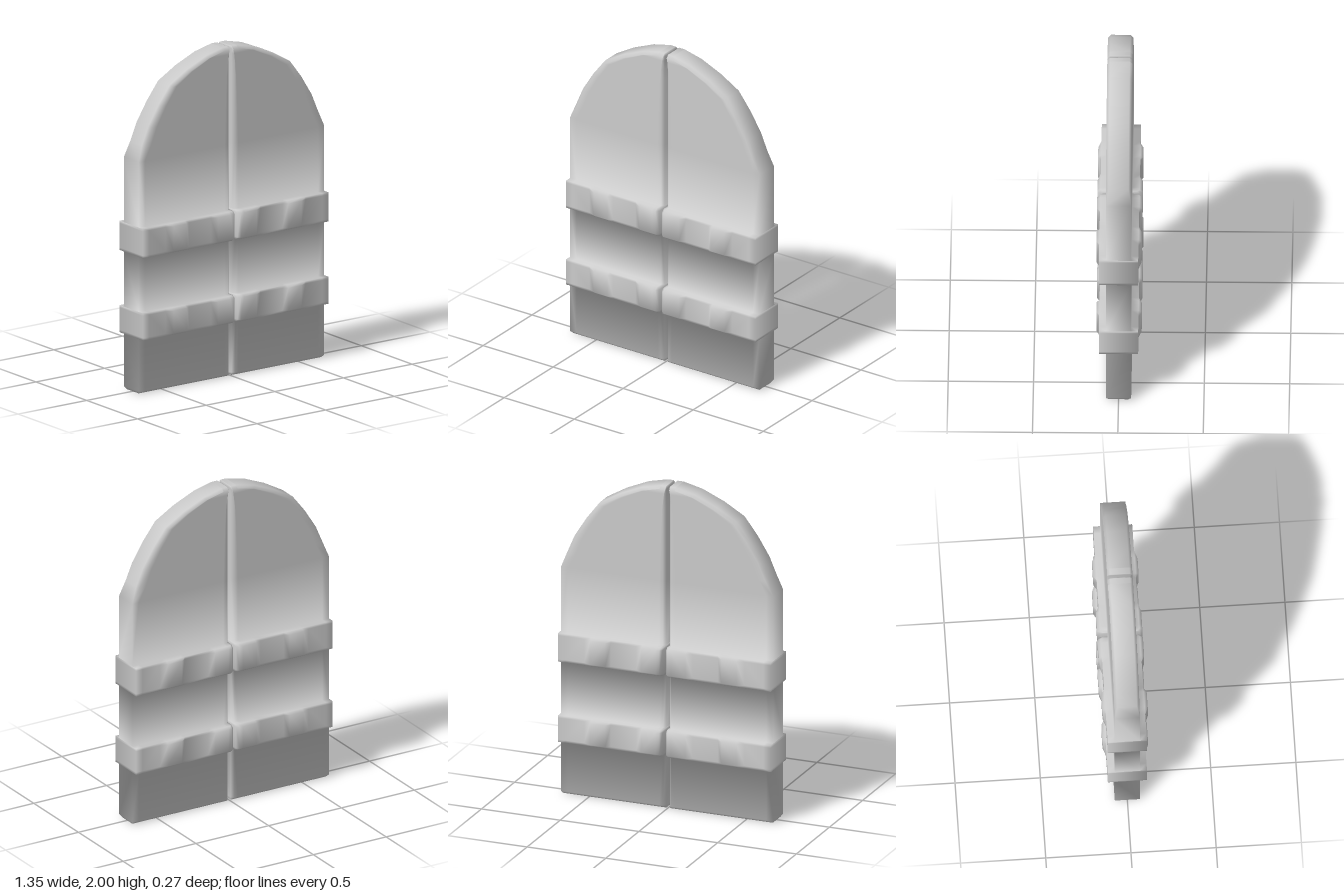
import * as THREE from 'three';
import { mergeVertices } from 'three/addons/utils/BufferGeometryUtils.js';

const SEAM = 0.011, WIDTH = 0.675, DOOR = 0.074, BAND = 0.115, STUD = 0.133, BEVEL = 0.016;

// Columns across a leaf, from the seam to the outer edge: [x, raised by a stud]
const COLUMNS = [
  [SEAM, 1], [0.026, 1], [0.05, 1], [0.14, 1], [0.18, 0], [0.34, 0], [0.37, 1],
  [0.465, 1], [0.51, 0], [0.63, 0], [WIDTH, 0], [WIDTH, 0],
];

// Rows up a leaf: height, half width, half depth, depth on the studs, and arch normal
const row = (y, z, stud = z, w = WIDTH, ny = null) => ({ y, z, stud, w, ny });

// A raised strap with studs, stepping out of the door face
const strap = (y0, y1) => [
  row(y0, DOOR), row(y0, BAND), row(y0 + 0.015, BAND, STUD),
  row(y1 - 0.015, BAND, STUD), row(y1, BAND), row(y1, DOOR),
];

// Rounded top: [width, height]
const ARCH = [[0.64, 1.505], [0.595, 1.61], [0.52, 1.73], [0.437, 1.838], [0.31, 1.912], [0.17, 1.972], [0.05, 2]];

function leafRows() {
  return [
    row(0, DOOR - BEVEL, DOOR - BEVEL, WIDTH - 0.01),
    row(BEVEL, DOOR),
    ...strap(0.335, 0.5),
    ...strap(0.835, 1.013),
    row(1.41, DOOR),
    ...ARCH.map(([w, y]) => row(y, DOOR, DOOR, w, (y - 1.41) / 0.59)),
    row(2, DOOR - BEVEL, DOOR - BEVEL, 0.05),
  ];
}

// Smooth normals in which every face counts equally
function evenNormals(geometry) {
  const p = geometry.attributes.position, index = geometry.index;
  const sums = Array.from({ length: p.count }, () => new THREE.Vector3());
  const tri = new THREE.Triangle(), n = new THREE.Vector3();
  for (let i = 0; i < index.count; i += 3) {
    const ids = [0, 1, 2].map((k) => index.getX(i + k));
    tri.setFromAttributeAndIndices(p, ...ids);
    if (tri.getArea() < 1e-9) continue;
    tri.getNormal(n);
    ids.forEach((id) => sums[id].add(n));
  }
  const normals = sums.flatMap((v) => v.normalize().toArray());
  geometry.setAttribute('normal', new THREE.Float32BufferAttribute(normals, 3));
  return geometry;
}

// One leaf: closed rings (front, then back) lofted up the rows
function leafGeometry(side) {
  const rows = leafRows(), count = COLUMNS.length, ring = count * 2;
  const positions = [], indices = [];
  for (const r of rows) {
    const front = COLUMNS.map(([cx, stud], c) => {
      const outer = c === count - 1;
      let z = stud ? r.stud : r.z;
      let y = r.y, w = r.w;
      if (c === 0 && r.z >= DOOR) z -= BEVEL;
      if (r.ny !== null) {
        // bevel along the arch
        if (outer) z -= BEVEL;
        else {
          y -= BEVEL * r.ny;
          w -= BEVEL * Math.sqrt(Math.max(0, 1 - r.ny * r.ny));
        }
      }
      const x = SEAM + (cx - SEAM) * (w - SEAM) / (WIDTH - SEAM);
      // keep the seam bevel narrow where the leaf narrows
      return [side * (c === 1 ? Math.min(cx, Math.max(x, SEAM + (w - SEAM) * 0.05)) : x), y, z];
    });
    const back = front.map(([x, y, z]) => [x, y, -z]).reverse();
    positions.push(...front.flat(), ...back.flat());
  }
  const quad = (a, b, c, d) => (side > 0
    ? indices.push(a, b, c, a, c, d)
    : indices.push(a, c, b, a, d, c));
  for (let r = 0; r < rows.length - 1; r++) {
    for (let i = 0; i < ring; i++) {
      const j = (i + 1) % ring, lo = r * ring, hi = lo + ring;
      quad(lo + i, lo + j, hi + j, hi + i);
    }
  }
  // bottom and top caps
  const top = (rows.length - 1) * ring;
  for (let i = 0; i < count - 1; i++) {
    const b = ring - 1 - i;
    quad(i, b, b - 1, i + 1);
    quad(top + i, top + i + 1, top + b - 1, top + b);
  }
  const geometry = new THREE.BufferGeometry();
  geometry.setAttribute('position', new THREE.Float32BufferAttribute(positions, 3));
  geometry.setIndex(indices);
  return evenNormals(mergeVertices(geometry, 1e-4));
}

export function createModel() {
  const group = new THREE.Group();
  group.name = 'archedDoubleDoor';
  const material = new THREE.MeshStandardMaterial({ color: 0xcccccc });
  for (const [name, side] of [['leftDoorLeaf', 1], ['rightDoorLeaf', -1]]) {
    const leaf = new THREE.Mesh(leafGeometry(side), material);
    leaf.name = name;
    group.add(leaf);
  }
  return group;
}
